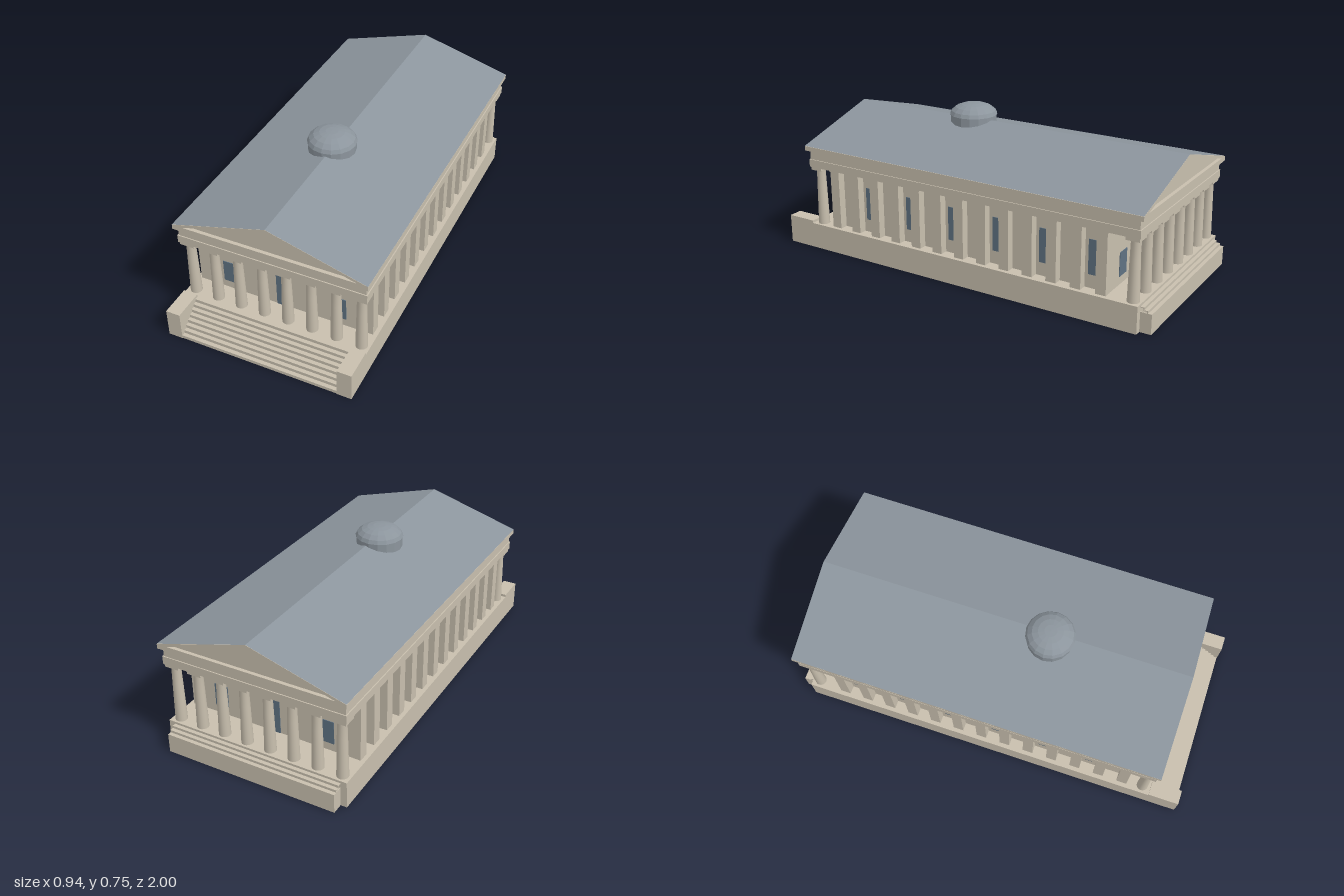
import * as THREE from 'three';

const mat = (color, extra = {}) => new THREE.MeshStandardMaterial({ color, ...extra });

export function createModel() {
  const model = new THREE.Group();
  const stone = mat(0xc8bfae);
  const smoothStone = mat(0xc8bfae, { side: THREE.DoubleSide });
  const glass = mat(0x5f7282);
  const slate = mat(0x8c959d, { side: THREE.DoubleSide });
  const dome = mat(0x8c959d, { side: THREE.DoubleSide, flatShading: true });

  const add = (name, geo, material, parent = model) => {
    const mesh = new THREE.Mesh(geo, material);
    mesh.name = name;
    parent.add(mesh);
    return mesh;
  };
  // box given by its extents on each axis
  const block = (name, [x0, x1], [y0, y1], [z0, z1], material = stone, parent = model) => {
    const mesh = add(name, new THREE.BoxGeometry(x1 - x0, y1 - y0, z1 - z0), material, parent);
    mesh.position.set((x0 + x1) / 2, (y0 + y1) / 2, (z0 + z1) / 2);
    return mesh;
  };
  const group = (name) => {
    const g = new THREE.Group();
    g.name = name;
    model.add(g);
    return g;
  };

  const FLOOR = 0.13, EAVE = 0.54, RIDGE = 0.675;
  const BACK = -0.946, FRONT = 0.85, MID = -0.05;

  // Platform: a thin shell, open underneath
  const platform = group('platform');
  const t = 0.004;
  block('floor', [-0.46, 0.46], [FLOOR - t, FLOOR], [BACK, FRONT], stone, platform);
  for (const s of [-1, 1]) {
    block('platformSide', [s * 0.458 - t / 2, s * 0.458 + t / 2], [0, FLOOR - t], [BACK, FRONT], stone, platform);
  }
  block('platformFront', [-0.456, 0.456], [0, FLOOR - t], [FRONT - t, FRONT], stone, platform);
  block('platformBack', [-0.456, 0.456], [0, FLOOR - t], [BACK, BACK + t], stone, platform);

  // Flight of thin steps; points are [z, y] going outwards and down
  const steps = (name, points, width) => {
    const shape = new THREE.Shape();
    const dir = Math.sign(points[points.length - 1][0] - points[0][0]);
    points.forEach(([z, y], i) => (i ? shape.lineTo(-z, y) : shape.moveTo(-z, y)));
    [...points].reverse().forEach(([z, y]) => shape.lineTo(-(z - dir * t), Math.max(0, y - t)));
    const geo = new THREE.ExtrudeGeometry(shape, { depth: width, bevelEnabled: false });
    geo.translate(0, 0, -width / 2).rotateY(Math.PI / 2);
    add(name, geo, smoothStone);
  };
  const frontSteps = [];
  for (let i = 0; i < 8; i++) {
    const z = FRONT + i * 0.0185, y = FLOOR - i * FLOOR / 8;
    frontSteps.push([z, y], [z + 0.0185, y]);
  }
  frontSteps.push([0.998, 0]);
  steps('frontSteps', frontSteps, 0.78);
  steps('backSteps', [[BACK, 0.119], [-0.964, 0.119], [-0.964, 0.107], [-0.982, 0.107],
    [-0.982, 0.095], [-1, 0.095], [-1, 0]], 0.86);
  for (const s of [-1, 1]) {
    block('stairCheek', s < 0 ? [-0.46, -0.39] : [0.39, 0.46], [0, 0.143], [FRONT, 1]);
    block('backStepEnd', [s * 0.428 - 0.002, s * 0.428 + 0.002], [0, 0.095], [-1, BACK]);
  }

  // Main hall
  const Z0 = -0.787, Z1 = 0.73, WALL = 0.4;
  block('hall', [-WALL, WALL], [FLOOR, 0.433], [Z0, Z1]);

  // Side pilasters with small caps, and a window in every second bay
  const pitch = 0.1222;
  const sides = group('sideWalls');
  for (const s of [-1, 1]) {
    const span = (a, b) => (s > 0 ? [a, b] : [-b, -a]);
    for (let i = 0; i < 13; i++) {
      const z = 0.704 - i * pitch;
      block('pilaster', span(WALL, 0.44), [FLOOR, 0.42], [z - 0.0255, z + 0.0255], stone, sides);
      block('pilasterCap', span(WALL, 0.444), [0.42, 0.433], [z - 0.029, z + 0.029], stone, sides);
      if (i % 2) {
        const w = z - pitch / 2;
        block('sideWindow', span(WALL - 0.01, WALL + 0.003), [0.195, 0.36], [w - 0.019, w + 0.019], glass, sides);
      }
    }
  }

  // Door and windows on both end walls
  for (const z of [Z0, Z1]) {
    const depth = [z - 0.003, z + 0.003];
    block('door', [-0.036, 0.036], [FLOOR, 0.33], depth, glass);
    for (const s of [-1, 1]) block('endWindow', [s * 0.275 - 0.035, s * 0.275 + 0.035], [0.17, 0.285], depth, glass);
  }

  // Eight columns on each porch
  const shaft = new THREE.LatheGeometry([[0.028, FLOOR], [0.0265, 0.2], [0.0235, 0.33], [0.0215, 0.408],
    [0.027, 0.418]].map(([r, y]) => new THREE.Vector2(r, y)), 16);
  const columns = group('columns');
  for (const z of [0.807, -0.908]) {
    for (let i = 0; i < 8; i++) {
      const x = -0.42 + i * 0.12;
      add('columnShaft', shaft, smoothStone, columns).position.set(x, 0, z);
      block('columnCap', [x - 0.036, x + 0.036], [0.417, 0.433], [z - 0.032, z + 0.032], stone, columns);
    }
  }

  // Entablature and cornice
  for (const [name, x, y, halfZ] of [
    ['architrave', 0.46, [0.433, 0.472], 0.895],
    ['frieze', 0.455, [0.472, 0.517], 0.89],
    ['cornice', 0.47, [0.517, EAVE], 0.91],
  ]) block(name, [-x, x], y, [MID - halfZ, MID + halfZ]);

  // Gables: recessed triangle with a raking frame at each end
  const triangle = (Kind, half, top) => {
    const p = new Kind();
    p.moveTo(-half, EAVE);
    p.lineTo(half, EAVE);
    p.lineTo(0, top);
    p.closePath();
    return p;
  };
  const prism = (shape, z, depth) =>
    new THREE.ExtrudeGeometry(shape, { depth, bevelEnabled: false }).translate(0, 0, z);
  add('pedimentPanel', prism(triangle(THREE.Shape, 0.45, 0.669), MID - 0.893, 1.786), stone);
  const rake = new THREE.Shape([[-0.47, EAVE], [-0.42, EAVE], [0, 0.662], [0.42, EAVE], [0.47, EAVE], [0, RIDGE]]
    .map(([x, y]) => new THREE.Vector2(x, y)));
  for (const z of [MID - 0.91, MID + 0.885]) add('pedimentFrame', prism(rake, z, 0.025), stone);

  // Roof slopes
  const slope = Math.hypot(0.47, RIDGE - EAVE);
  for (const s of [-1, 1]) {
    const geo = new THREE.PlaneGeometry(slope, 1.82).rotateX(-Math.PI / 2);
    const roof = add('roofSlope', geo, slate);
    roof.rotation.z = -s * Math.atan2(RIDGE - EAVE, 0.47);
    roof.position.set(s * 0.235, (RIDGE + EAVE) / 2 + 0.0012, MID);
  }

  // Dome on a low drum
  const profile = [[0.114, 0.62], [0.114, 0.693], [0.118, 0.693], [0.109, 0.711], [0.088, 0.729],
    [0.06, 0.74], [0.03, 0.745], [0, 0.746]].map(([r, y]) => new THREE.Vector2(r, y));
  add('dome', new THREE.LatheGeometry(profile, 16), dome).position.set(-0.017, 0, 0.18);

  return model;
}
